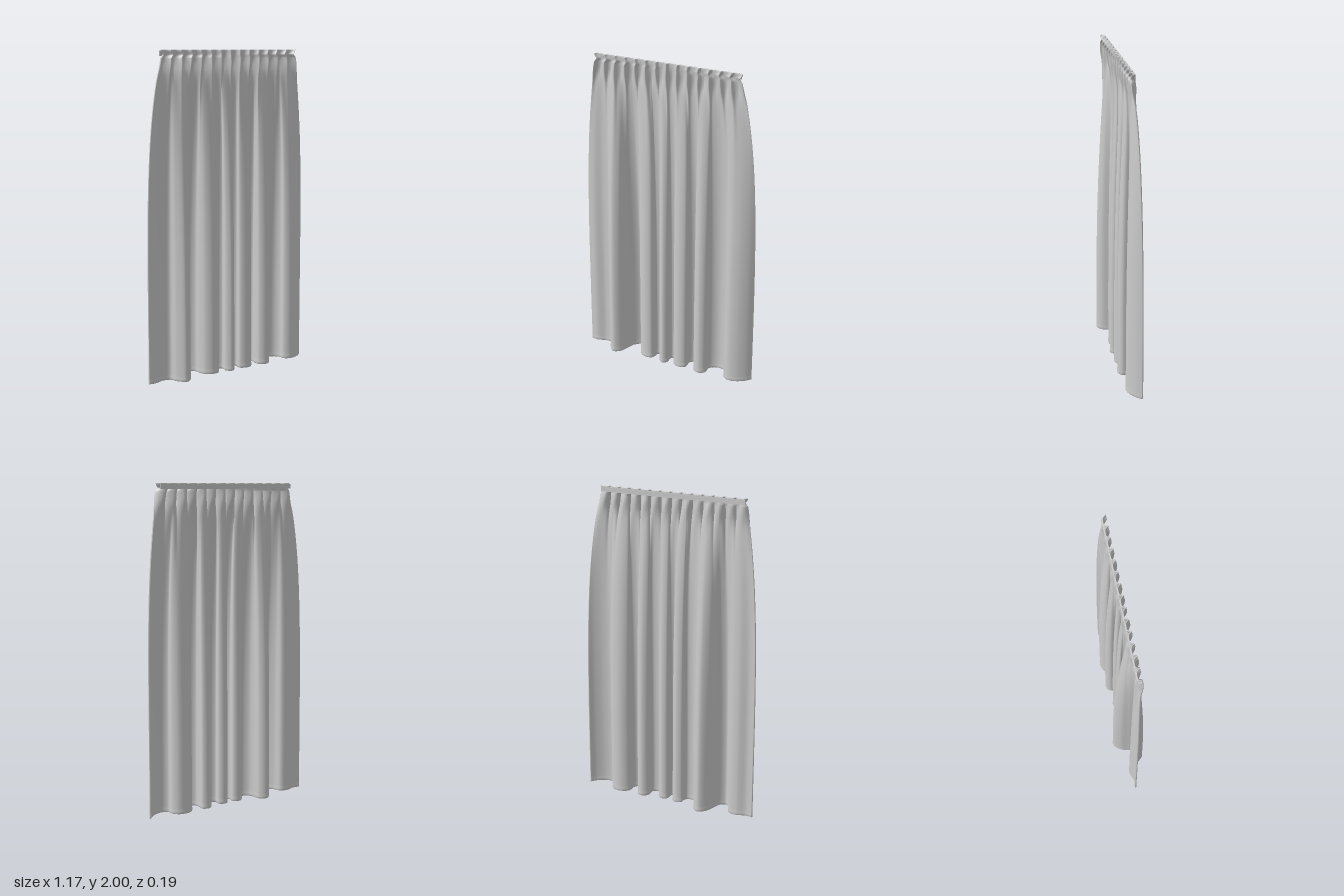
import * as THREE from 'three';

// Hem line seen from above, x and z
const HEM = [
  [-0.585, 0], [-0.54, 0.004], [-0.48, -0.016], [-0.43, -0.005], [-0.41, 0.045], [-0.37, 0.085], [-0.33, 0.06],
  [-0.31, 0], [-0.293, -0.05], [-0.25, -0.088], [-0.212, -0.065], [-0.205, -0.015], [-0.19, 0.02],
  [-0.15, 0.043], [-0.11, 0.036], [-0.095, 0], [-0.098, -0.02], [-0.065, -0.034], [-0.038, -0.018],
  [-0.045, 0.03], [-0.016, 0.056], [0.008, 0.038], [0.007, 0], [0.012, -0.02], [0.04, -0.03],
  [0.066, -0.012], [0.06, 0.03], [0.1, 0.05], [0.14, 0.036], [0.142, -0.03], [0.175, -0.055],
  [0.207, -0.04], [0.204, 0], [0.208, 0.035], [0.245, 0.056], [0.28, 0.036], [0.285, -0.03],
  [0.33, -0.06], [0.385, -0.052], [0.413, -0.02], [0.416, 0.02], [0.45, 0.042], [0.5, 0.034],
  [0.55, 0.002], [0.581, -0.034],
];
const PLEATS = 14;
const COLS = 480;
const BODY_TOP = 1.955;

// Shell between an inner and outer skin; rows are [y, half thickness]
function clothShell(rows, cols, point) {
  const pos = [], index = [];
  const ring = 2 * (cols + 1);
  for (const [y, half] of rows) {
    const line = [];
    for (let i = 0; i <= cols; i++) line.push(point(i / cols, y));
    const sides = [[], []];
    for (let i = 0; i <= cols; i++) {
      const a = line[Math.max(i - 1, 0)], b = line[Math.min(i + 1, cols)];
      const dx = b[0] - a[0], dz = b[1] - a[1], l = Math.hypot(dx, dz) || 1;
      const ox = -dz / l * half, oz = dx / l * half;
      sides[0].push([line[i][0] + ox, y, line[i][1] + oz]);
      sides[1].push([line[i][0] - ox, y, line[i][1] - oz]);
    }
    for (const p of [...sides[0], ...sides[1].reverse()]) pos.push(...p);
  }
  for (let r = 0; r < rows.length - 1; r++) {
    for (let i = 0; i < ring; i++) {
      const a = r * ring + i, b = r * ring + (i + 1) % ring;
      index.push(a, b, b + ring, a, b + ring, a + ring);
    }
  }
  const geo = new THREE.BufferGeometry();
  geo.setAttribute('position', new THREE.Float32BufferAttribute(pos, 3));
  geo.setIndex(index);
  geo.computeVertexNormals();
  return geo;
}

export function createModel() {
  const group = new THREE.Group();
  group.name = 'curtain';
  const material = new THREE.MeshStandardMaterial({ color: 0xcccccc, side: THREE.DoubleSide });

  const curve = new THREE.CatmullRomCurve3(HEM.map(([x, z]) => new THREE.Vector3(x, 0, z)), false, 'centripetal');
  curve.arcLengthDivisions = 1000;
  const hem = curve.getSpacedPoints(COLS);

  // Narrow pinched ridge at each pleat, leaning slightly to one side
  const ridge = (u) => Math.pow(Math.cos(Math.PI * u * PLEATS), 8);

  const point = (u, y) => {
    const h = hem[Math.round(u * COLS)];
    const t = Math.max(0, 1 - y / BODY_TOP);
    const spreadX = 1 - Math.pow(1 - t, 4.5);
    const spreadZ = 1 - Math.pow(1 - t, 2.5);
    // Gathered header: a neck just above the body, flaring at the top edge
    const neck = 1 - 0.03 * Math.exp(-Math.pow((y - 1.972) / 0.012, 2));
    const topX = (-0.5 + 0.98 * u) * neck + 0.008 * ridge(u + 0.006);
    // Each pleat dies out at its own height
    const k = Math.round(u * PLEATS);
    const reach = 5 + 5 * (0.5 + 0.5 * Math.sin(k * 2.4));
    const fade = Math.pow(1 - t, reach);
    const swell = 0.012 * Math.exp(-Math.pow((y - 1.9) / 0.06, 2)) * Math.cos(2 * Math.PI * u * PLEATS);
    const topZ = 0.003 + (0.02 * ridge(u) + swell) * fade;
    return [
      THREE.MathUtils.lerp(topX, h.x, spreadX),
      THREE.MathUtils.lerp(topZ, h.z, spreadZ),
    ];
  };

  // Hanging cloth with a rounded hem
  const body = [[0.004, 0], [0.004, 0.003], [0.008, 0.005], [0.016, 0.006], [0.026, 0.005], [0.04, 0.004]];
  for (let i = 1; i <= 34; i++) {
    const s = i / 34;
    body.push([0.04 + (BODY_TOP - 0.04) * (1 - Math.pow(1 - s, 1.7)), 0.004 - 0.001 * s]);
  }
  // Gathered header strip
  for (const y of [1.962, 1.968, 1.974, 1.982, 1.99, 1.997]) body.push([y, 0.003]);
  body.push([2, 0.002], [2, 0]);

  const cloth = new THREE.Mesh(clothShell(body, COLS, point), material);
  cloth.name = 'pleatedCloth';
  group.add(cloth);

  // Flat gathering tape along the back of the header
  const tape = new THREE.Mesh(new THREE.BoxGeometry(0.96, 0.03, 0.004), material);
  tape.name = 'headerTape';
  tape.position.set(-0.01, 1.98, -0.002);
  group.add(tape);

  return group;
}
